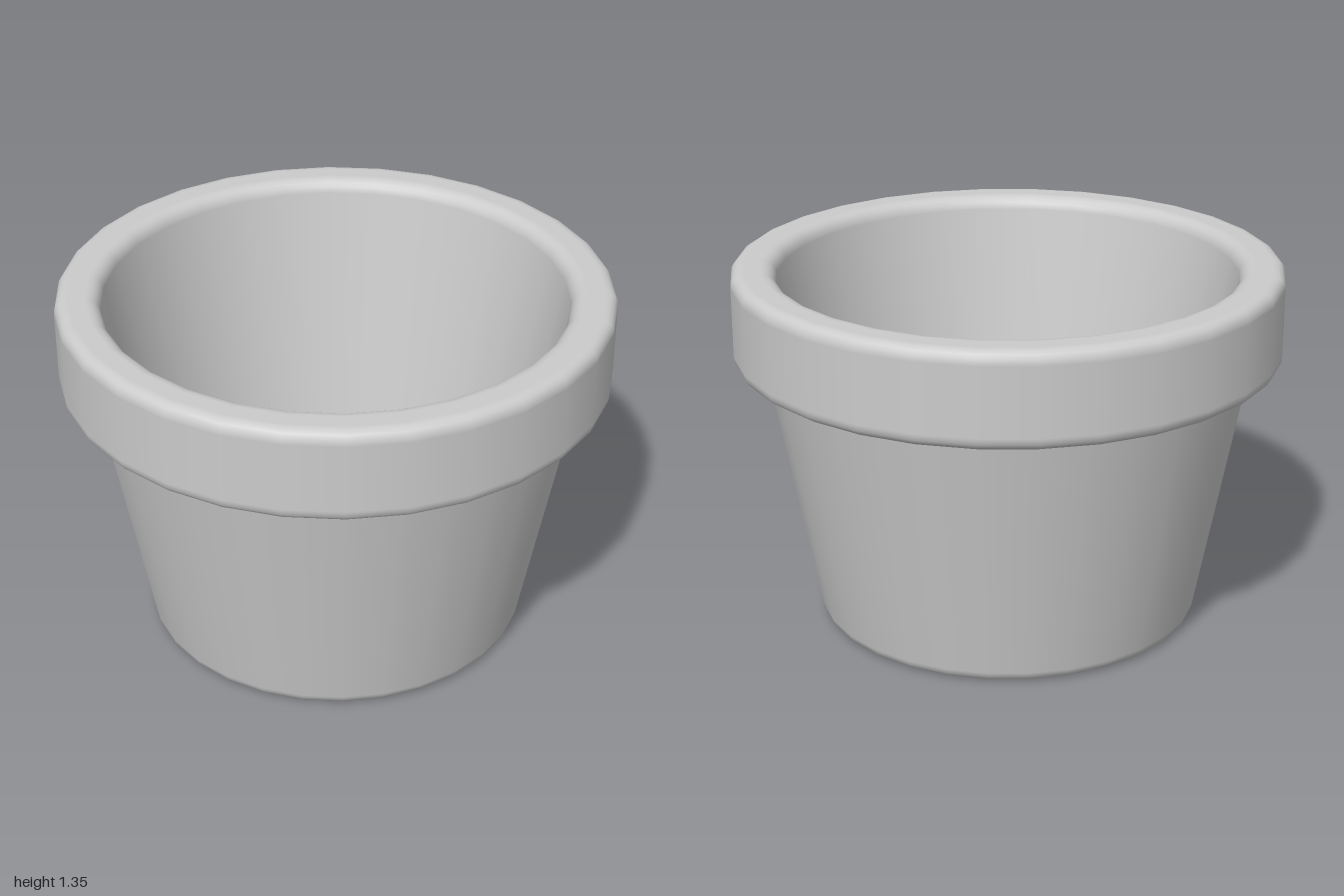
import * as THREE from 'three';

const SIDES = 30;
const material = new THREE.MeshStandardMaterial({ color: 0xcccccc });

// Turns corners [radius, height, bevel] into a profile, rounding each corner that has a bevel
function profile(corners, steps = 4) {
  const points = [];
  corners.forEach(([r, y, bevel = 0], i) => {
    const corner = new THREE.Vector2(r, y);
    if (!bevel) return points.push(corner);
    const toward = (c, d) => new THREE.Vector2(c[0], c[1]).sub(corner).setLength(d).add(corner);
    const before = corners[i - 1], after = corners[i + 1];
    const start = toward(before, bevel), end = toward(after, bevel);
    // Short supporting edges keep the long faces evenly shaded
    points.push(toward(before, bevel * 1.2));
    for (let s = 0; s <= steps; s++) {
      const a = (s / steps) * Math.PI / 2;
      points.push(corner.clone()
        .addScaledVector(start.clone().sub(corner), 1 - Math.sin(a))
        .addScaledVector(end.clone().sub(corner), 1 - Math.cos(a)));
    }
    points.push(toward(after, bevel * 1.2));
  });
  return points;
}

function turned(name, corners) {
  const geometry = new THREE.LatheGeometry(profile(corners), SIDES, Math.PI / 2);
  const mesh = new THREE.Mesh(geometry, material);
  mesh.name = name;
  return mesh;
}

export function createModel() {
  const group = new THREE.Group();
  group.name = 'flowerPot';
  group.add(
    // Tapered outside wall with rounded foot and flat underside
    turned('outerWall', [[0, 0], [0.7, 0, 0.035], [0.888, 1]]),
    // Thick collar, running over the lip and down the inside wall
    turned('rimAndInnerWall', [
      [0.88, 1], [1, 1, 0.04], [1, 1.345, 0.04], [0.845, 1.345, 0.04], [0.62, 0.14],
    ]),
    // Inside floor
    turned('floor', [[0.62, 0.14], [0, 0.14]]),
  );
  return group;
}
